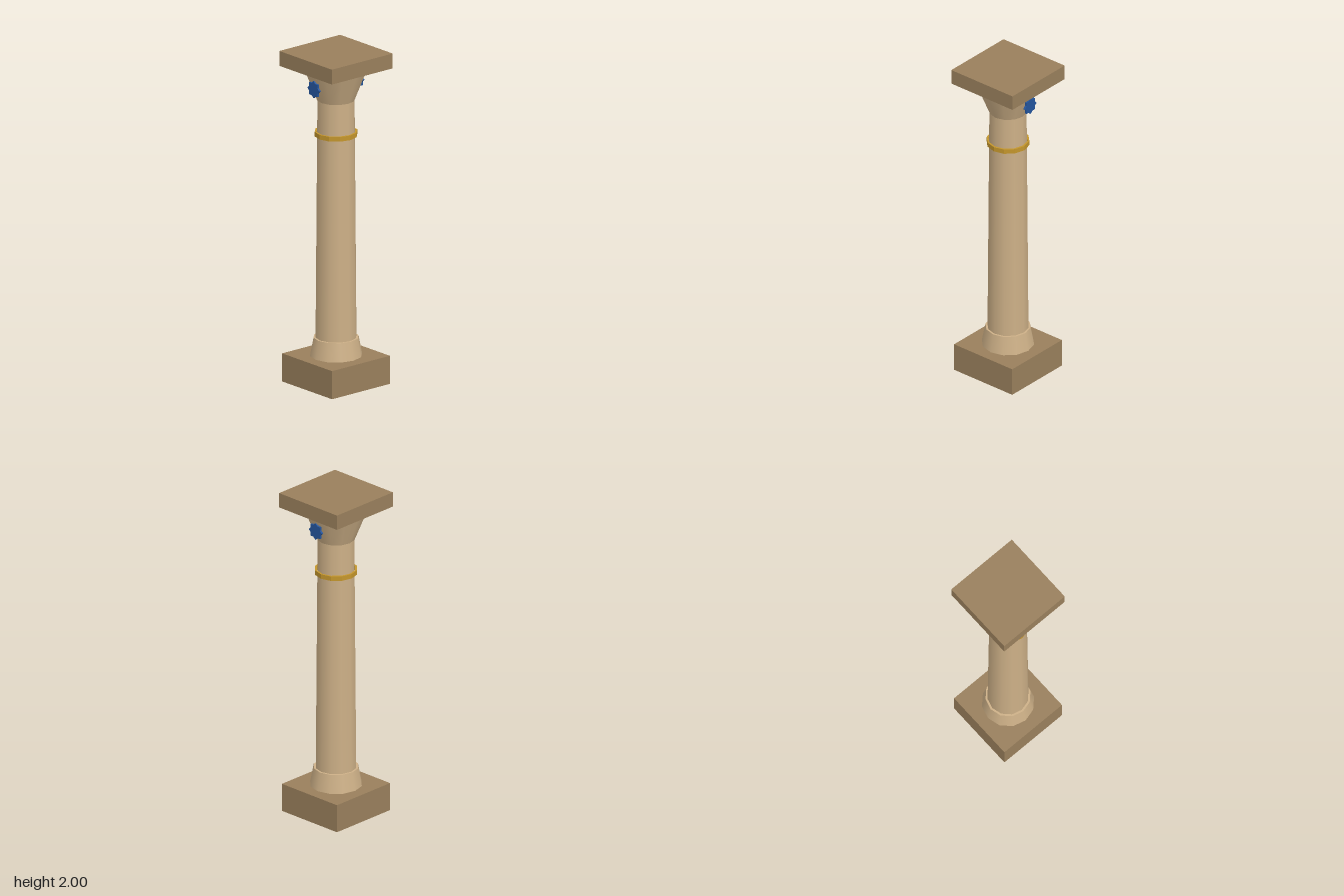
import * as THREE from 'three';

const SIDES = 12;
const stone = new THREE.MeshStandardMaterial({ color: 0xcdb087 });
const darkStone = new THREE.MeshStandardMaterial({ color: 0x997f5c });
const gold = new THREE.MeshStandardMaterial({ color: 0xc4962c, flatShading: true });
const blue = new THREE.MeshStandardMaterial({ color: 0x24559c });

export function createModel() {
  const group = new THREE.Group();

  const add = (name, geometry, material, y, z = 0) => {
    const mesh = new THREE.Mesh(geometry, material);
    mesh.name = name;
    mesh.position.set(0, y, z);
    group.add(mesh);
    return mesh;
  };
  const slab = (name, width, y0, y1) =>
    add(name, new THREE.BoxGeometry(width, y1 - y0, width), darkStone, (y0 + y1) / 2);
  const drum = (name, rTop, rBottom, y0, y1, sides) =>
    add(name, new THREE.CylinderGeometry(rTop, rBottom, y1 - y0, sides), stone, (y0 + y1) / 2);

  // Square slabs at foot and top
  slab('plinth', 0.44, 0, 0.17);
  slab('abacus', 0.463, 1.91, 2);

  // Round, tapering stone parts
  drum('baseMoulding', 0.132, 0.153, 0.17, 0.28, SIDES);
  drum('shaft', 0.109, 0.12, 0.28, 1.715, SIDES);
  drum('capital', 0.187, 0.11, 1.715, 1.91, SIDES);

  // Gold band standing slightly clear of the shaft
  const bandProfile = [[0.114, -0.014], [0.125, -0.014], [0.125, 0.014], [0.114, 0.014], [0.114, -0.014]]
    .map(([r, y]) => new THREE.Vector2(r, y));
  add('neckBand', new THREE.LatheGeometry(bandProfile, SIDES), gold, 1.512);

  // Eight-pointed stars on the front and back of the capital
  const star = new THREE.Shape();
  for (let i = 0; i < 16; i++) {
    const r = i % 2 ? 0.04 : 0.052;
    const a = (i * Math.PI) / 8;
    star[i ? 'lineTo' : 'moveTo'](r * Math.sin(a), r * Math.cos(a));
  }
  star.closePath();
  const starGeometry = new THREE.ExtrudeGeometry(star, { depth: 0.012, bevelEnabled: false });
  add('frontStar', starGeometry, blue, 1.81, 0.16);
  add('backStar', starGeometry, blue, 1.81, -0.16).rotation.y = Math.PI;

  return group;
}
